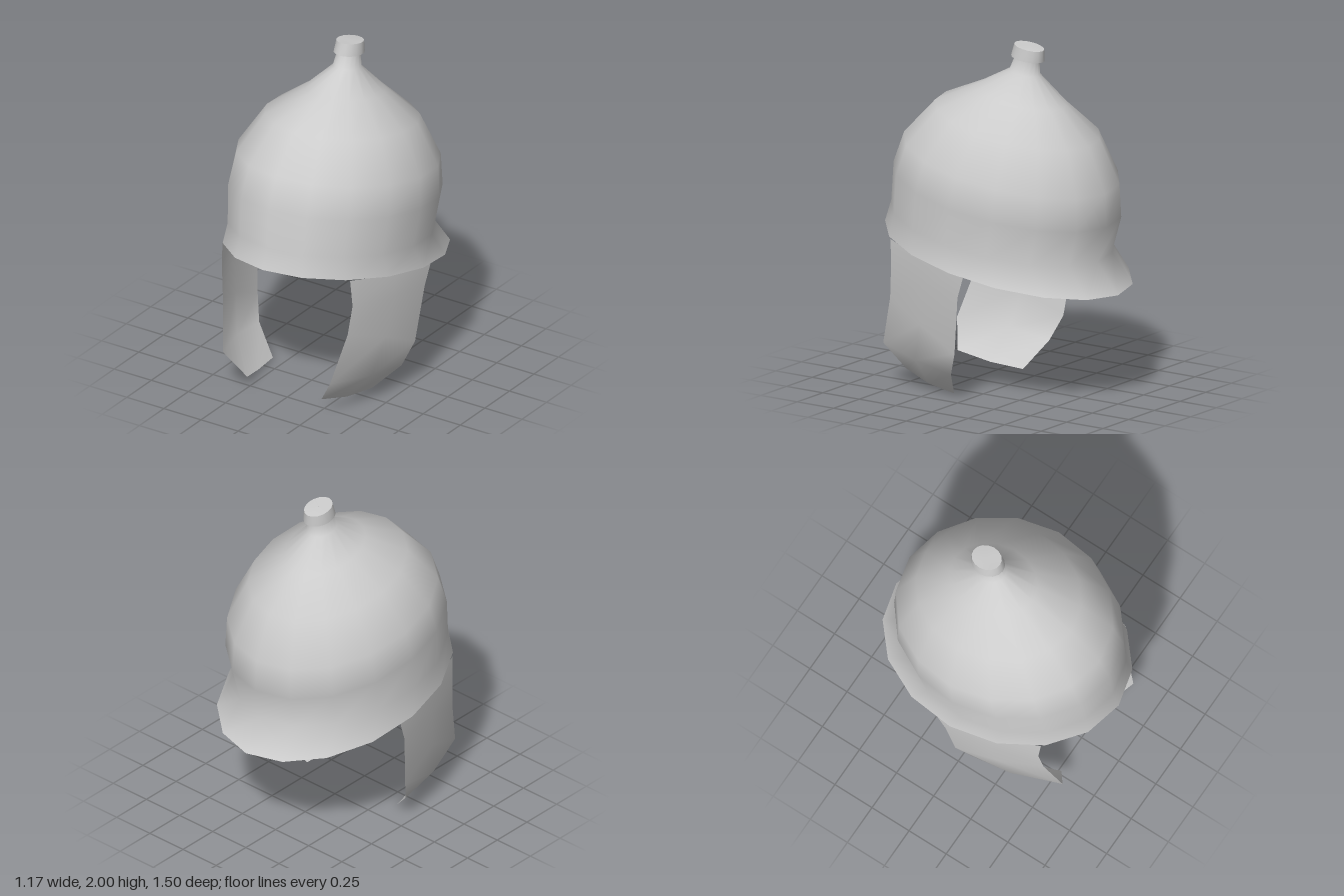
import * as THREE from 'three';
import { toCreasedNormals } from 'three/addons/utils/BufferGeometryUtils.js';

const SIDES = 16;
const material = new THREE.MeshStandardMaterial({ color: 0xcccccc, side: THREE.DoubleSide });

// Skin a list of equally long rows of [x, y, z] points
function loft(rows, closed) {
  const n = rows[0].length, index = [];
  for (let r = 0; r < rows.length - 1; r++) {
    for (let i = 0; i < (closed ? n : n - 1); i++) {
      const j = (i + 1) % n;
      const a = r * n + i, b = r * n + j, c = b + n, d = a + n;
      index.push(a, b, c, a, c, d);
    }
  }
  const geometry = new THREE.BufferGeometry();
  geometry.setAttribute('position', new THREE.Float32BufferAttribute(rows.flat(2), 3));
  geometry.setIndex(index);
  geometry.computeVertexNormals();
  return geometry;
}

// Tilted oval ring given by its front point, back point and half width
function ring([zFront, yFront, zBack, yBack, halfWidth]) {
  return Array.from({ length: SIDES }, (_, i) => {
    const a = (i / SIDES) * Math.PI * 2, t = (1 + Math.cos(a)) / 2;
    return [
      halfWidth * Math.sin(a),
      THREE.MathUtils.lerp(yBack, yFront, t),
      THREE.MathUtils.lerp(zBack, zFront, t),
    ];
  });
}

function addMesh(parent, name, geometry) {
  const mesh = new THREE.Mesh(geometry, material);
  mesh.name = name;
  parent.add(mesh);
  return mesh;
}

export function createModel() {
  const helmet = new THREE.Group();
  helmet.name = 'helmet';

  // Bowl from the flared rim up to the narrow neck
  const bowl = [
    [0.75, 0.91, -0.75, 0.63, 0.587],
    [0.71, 1.03, -0.61, 0.80, 0.552],
    [0.69, 1.26, -0.67, 1.01, 0.572],
    [0.62, 1.44, -0.66, 1.20, 0.552],
    [0.43, 1.64, -0.55, 1.46, 0.415],
    [0.17, 1.75, -0.36, 1.65, 0.21],
    [-0.02, 1.85, -0.20, 1.82, 0.078],
    [-0.06, 1.94, -0.20, 1.91, 0.062],
  ];
  addMesh(helmet, 'bowl', loft(bowl.map(ring), true));

  // Tilted button on top
  const knob = [
    [-0.06, 1.93, -0.20, 1.91, 0.062],
    [-0.03, 1.93, -0.23, 1.903, 0.083],
    [-0.05, 2.0, -0.23, 1.968, 0.073],
    [-0.139, 1.987, -0.141, 1.987, 0.001],
  ];
  addMesh(helmet, 'knob', toCreasedNormals(loft(knob.map(ring), true), 0.8));

  // Cheek guards: rows run from the back edge to the front edge
  const guardRows = [
    [[0.335, 0, 0.14], [0.30, 0.02, 0.34], [0.25, 0.07, 0.53]],
    [[0.48, 0.15, 0.06], [0.455, 0.19, 0.32], [0.36, 0.23, 0.61]],
    [[0.53, 0.29, 0], [0.505, 0.42, 0.26], [0.42, 0.52, 0.52]],
    [[0.565, 0.63, -0.045], [0.535, 0.665, 0.22], [0.44, 0.70, 0.50]],
    [[0.575, 0.755, -0.09], [0.54, 0.81, 0.22], [0.43, 0.86, 0.51]],
  ].map((row) => row.reverse());
  const guard = loft(guardRows, false);
  addMesh(helmet, 'leftCheekGuard', guard);
  addMesh(helmet, 'rightCheekGuard', guard).scale.x = -1;

  return helmet;
}
